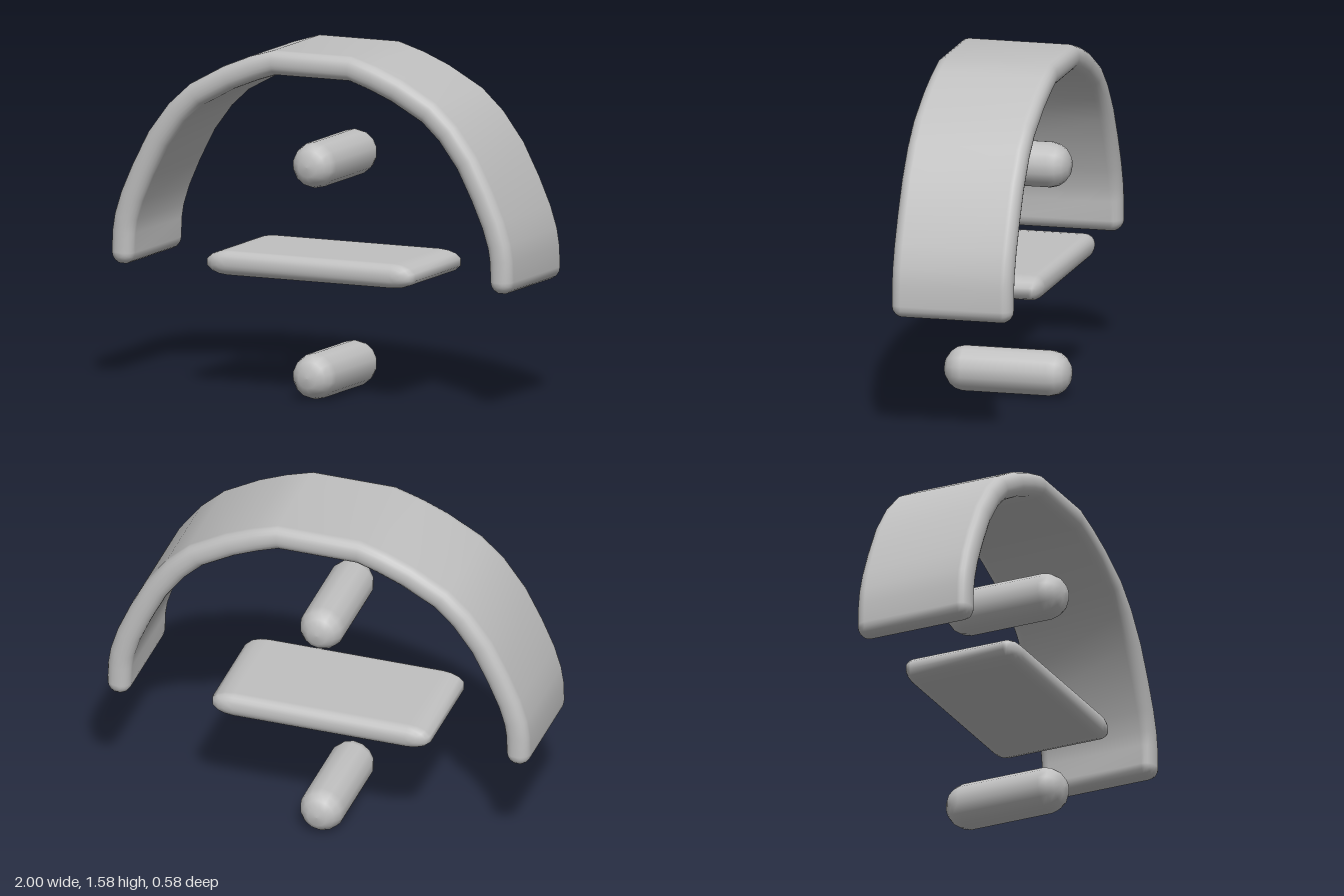
import * as THREE from 'three';

// Rounded band: a stadium outline around a path in xy, layered along z with soft edges
function bandGeometry(path, half, depth, bulge) {
  const pts = path.map(([x, y]) => new THREE.Vector2(x, y));
  const last = pts.length - 1;
  const upper = [];
  const add = (i, along, across) => {
    const t = pts[Math.min(i + 1, last)].clone().sub(pts[Math.max(i - 1, 0)]).normalize();
    upper.push({ p: pts[i], t, along, across });
  };
  const ends = [0.3, 0.75, 1.15].map((a) => [Math.cos(a) * bulge, Math.sin(a)]);
  ends.forEach(([u, v]) => add(0, -u, v));
  pts.forEach((_, i) => add(i, 0, 1));
  [...ends].reverse().forEach(([u, v]) => add(last, u, v));

  const outline = (h) => {
    const side = (s) => upper.map(({ p, t, along, across }) => [
      p.x + h * (t.x * along - t.y * across * s),
      p.y + h * (t.y * along + t.x * across * s),
    ]);
    return [...side(1), ...side(-1).reverse()];
  };

  // Quarter-round edges at the back and the front
  const r = half * 0.88, layers = [], steps = 5;
  for (let k = 0; k <= steps; k++) {
    const a = (k / steps) * Math.PI / 2;
    layers.push([-depth + r - r * Math.cos(a), half - r + r * Math.sin(a)]);
  }
  layers.push(...[...layers].reverse().map(([z, h]) => [-z, h]));

  const pos = [], index = [], m = upper.length * 2;
  layers.forEach(([z, h]) => outline(h).forEach(([x, y]) => pos.push(x, y, z)));
  for (let k = 0; k < layers.length - 1; k++) {
    for (let i = 0; i < m; i++) {
      const j = (i + 1) % m, a = k * m + i, b = k * m + j;
      index.push(a, a + m, b + m, a, b + m, b);
    }
  }
  // Narrow closing strips
  const top = (layers.length - 1) * m;
  for (let i = 0; i < upper.length - 1; i++) {
    const a = i, b = i + 1, c = m - 2 - i, d = m - 1 - i;
    index.push(a, b, c, a, c, d);
    index.push(top + a, top + c, top + b, top + a, top + d, top + c);
  }
  const geo = new THREE.BufferGeometry();
  geo.setAttribute('position', new THREE.Float32BufferAttribute(pos, 3));
  geo.setIndex(index);
  geo.computeVertexNormals();
  return geo;
}

export function createModel() {
  const group = new THREE.Group();
  const grey = new THREE.MeshStandardMaterial({ color: 0xc0c0c0 });
  grey.name = 'lightGrey';
  const addMesh = (name, geo) => {
    const mesh = new THREE.Mesh(geo, grey);
    mesh.name = name;
    group.add(mesh);
    return mesh;
  };

  // Arch, mirrored from its right half
  const halfArch = [[0.19, 1.522], [0.3, 1.487], [0.42, 1.438], [0.58, 1.35], [0.675, 1.262],
    [0.77, 1.135], [0.845, 0.99], [0.9, 0.865], [0.93, 0.77], [0.941, 0.7], [0.944, 0.608]];
  const arch = [...halfArch.map(([x, y]) => [-x, y]).reverse(), ...halfArch];
  addMesh('arch', bandGeometry(arch, 0.056, 0.28, 1));

  // Flat plate with tapered ends
  addMesh('plate', bandGeometry([[-0.42, 0.595], [0.4, 0.595]], 0.056, 0.28, 2));

  // Round bars running front to back
  const profile = [[0, 0.29], [0.045, 0.286], [0.075, 0.265], [0.096, 0.235], [0.105, 0.2]];
  const full = [...profile.map(([r, z]) => [r, -z]), ...[...profile].reverse()]
    .map(([r, z]) => new THREE.Vector2(r, z));
  [['upperBar', 1.065], ['lowerBar', 0.105]].forEach(([name, y]) => {
    const bar = addMesh(name, new THREE.LatheGeometry(full, 14));
    bar.rotation.x = Math.PI / 2;
    bar.position.set(-0.005, y, 0);
  });

  return group;
}
